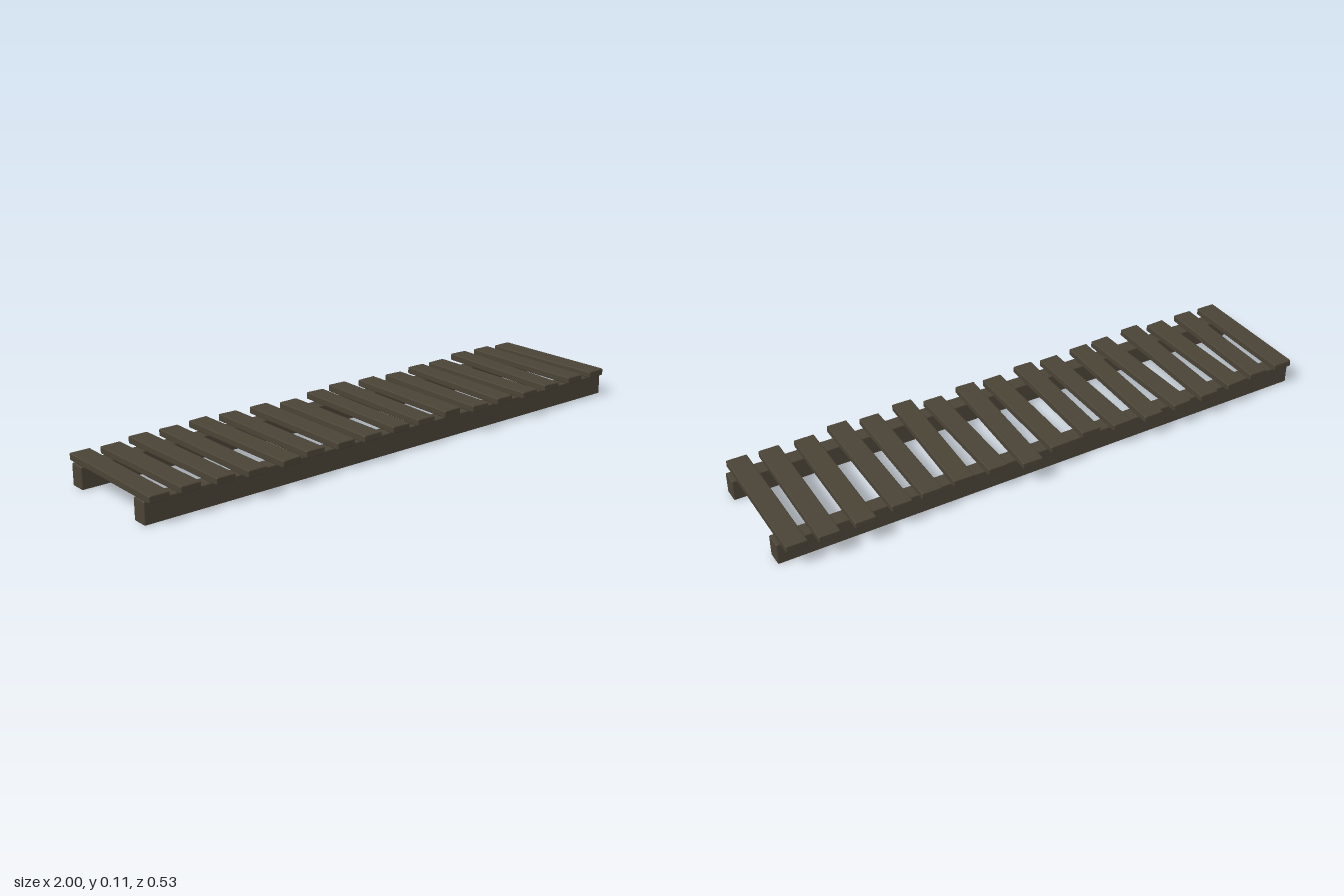
import * as THREE from 'three';
import { RoundedBoxGeometry } from 'three/addons/geometries/RoundedBoxGeometry.js';

// Each plank: x at back end, x at front end, back z, front z, pitch (lengthwise tilt)
const PLANKS = [
  [-0.96, -0.96, -0.23, 0.24, 0.006],
  [-0.85, -0.85, -0.23, 0.24, -0.008],
  [-0.738, -0.725, -0.245, 0.242, 0.01],
  [-0.618, -0.62, -0.25, 0.26, -0.004],
  [-0.5, -0.482, -0.253, 0.252, 0.008],
  [-0.378, -0.382, -0.253, 0.242, -0.01],
  [-0.256, -0.252, -0.243, 0.238, 0.004],
  [-0.142, -0.146, -0.223, 0.245, -0.006],
  [-0.007, -0.011, -0.243, 0.232, 0.008],
  [0.116, 0.096, -0.27, 0.237, -0.006],
  [0.232, 0.232, -0.243, 0.222, 0.005],
  [0.356, 0.337, -0.235, 0.252, -0.009],
  [0.477, 0.469, -0.245, 0.238, 0.007],
  [0.586, 0.584, -0.25, 0.252, -0.005],
  [0.722, 0.711, -0.27, 0.237, 0.009],
  [0.845, 0.837, -0.27, 0.237, -0.007],
  [0.95, 0.949, -0.26, 0.24, -0.012],
];

export function createModel() {
  const model = new THREE.Group();
  model.name = 'plankWalkway';
  const wood = new THREE.MeshStandardMaterial({ color: 0x4a4336 });
  wood.name = 'darkWood';

  function beam(name, w, h, d, x, y, z) {
    const mesh = new THREE.Mesh(new RoundedBoxGeometry(w, h, d, 2, 0.004), wood);
    mesh.name = name;
    mesh.position.set(x, y, z);
    model.add(mesh);
    return mesh;
  }

  // Two long bearers under the deck
  beam('frontRail', 2, 0.077, 0.057, 0, 0.0385, 0.186);
  beam('backRail', 2, 0.077, 0.057, 0, 0.0385, -0.182);

  // Slightly crooked cross planks
  PLANKS.forEach(([xBack, xFront, zBack, zFront, pitch], i) => {
    const length = zFront - zBack;
    const plank = beam(`plank${i + 1}`, 0.073, 0.025, length,
      (xBack + xFront) / 2, 0.09, (zBack + zFront) / 2);
    const roll = [0, 0.012, -0.015][i % 3];
    plank.rotation.set(pitch, Math.atan2(xFront - xBack, length), roll);
  });
  return model;
}
